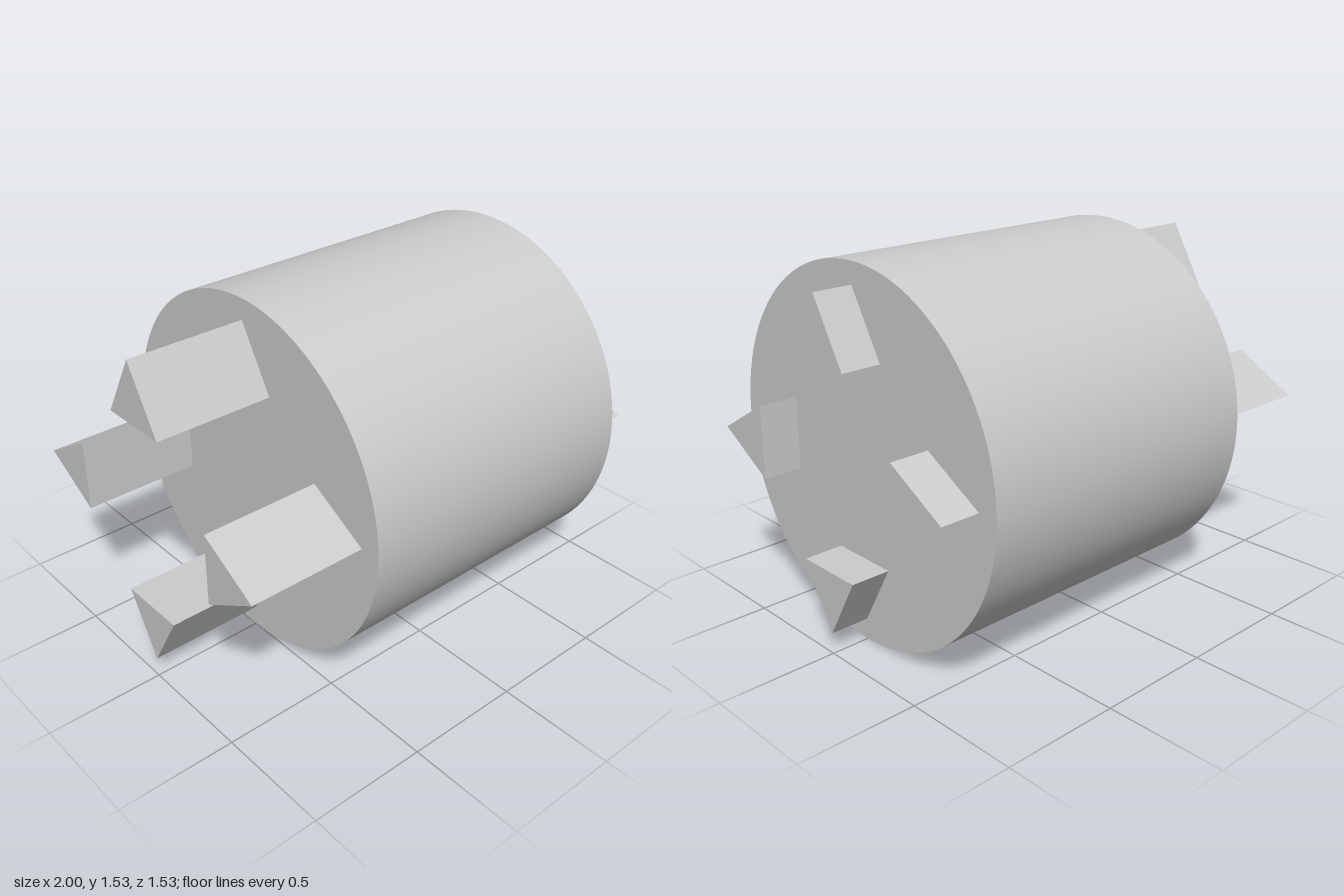
import * as THREE from 'three';

export function createModel() {
  const model = new THREE.Group();
  const material = new THREE.MeshStandardMaterial({ color: 0xcccccc });
  const radius = 0.766;

  // Drum lying along x, set off-centre towards +x
  const drumGeometry = new THREE.CylinderGeometry(radius, radius, 1.333, 128);
  drumGeometry.rotateZ(-Math.PI / 2);
  const drum = new THREE.Mesh(drumGeometry, material);
  drum.name = 'drum';
  drum.position.set(0.1665, radius, 0);
  model.add(drum);

  // Triangular rods passing through the drum, points facing outwards
  const triangle = new THREE.Shape([
    new THREE.Vector2(-0.153, 0.411),
    new THREE.Vector2(0.153, 0.411),
    new THREE.Vector2(0, 0.677),
  ]);
  const rodGeometry = new THREE.ExtrudeGeometry(triangle, { depth: 2, bevelEnabled: false });
  rodGeometry.translate(0, 0, -1);
  rodGeometry.rotateY(Math.PI / 2);

  const rods = new THREE.Group();
  rods.name = 'triangularRods';
  rods.position.y = radius;
  for (let i = 0; i < 4; i++) {
    const rod = new THREE.Mesh(rodGeometry, material);
    rod.name = `triangularRod${i + 1}`;
    rod.rotation.x = (i * Math.PI) / 2;
    rods.add(rod);
  }
  model.add(rods);

  return model;
}
